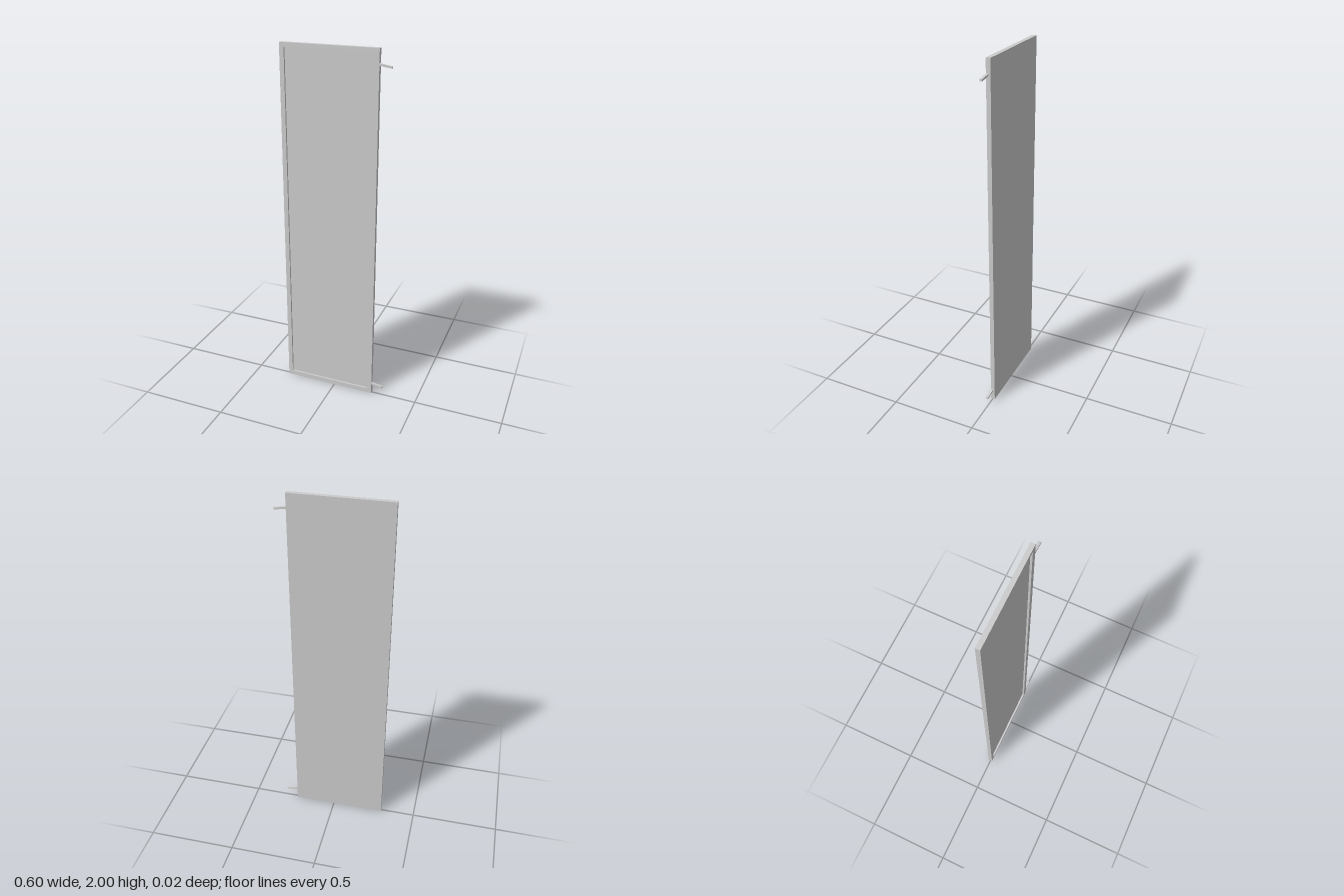
import * as THREE from 'three';

const material = new THREE.MeshStandardMaterial({ color: 0xcccccc, flatShading: true });

// Traces a rectangle into a Shape or Path
function rectangle(path, x0, y0, x1, y1) {
  path.moveTo(x0, y0);
  path.lineTo(x1, y0);
  path.lineTo(x1, y1);
  path.lineTo(x0, y1);
  path.closePath();
  return path;
}

function addMesh(group, name, geometry, x = 0, y = 0, z = 0) {
  const mesh = new THREE.Mesh(geometry, material);
  mesh.name = name;
  mesh.position.set(x, y, z);
  group.add(mesh);
  return mesh;
}

export function createModel() {
  const group = new THREE.Group();
  group.name = 'door';

  const left = -0.3, right = 0.235, top = 2;
  const back = -0.013, recess = 0, front = 0.011;

  // Full-size backing panel, seen inside the recess
  addMesh(group, 'doorPanel', new THREE.BoxGeometry(right - left, top, recess - back),
    (left + right) / 2, top / 2, (back + recess) / 2);

  // Raised border around the recessed front
  const border = rectangle(new THREE.Shape(), left, 0, right, top);
  border.holes.push(rectangle(new THREE.Path(), -0.275, 0.026, 0.207, 1.977));
  addMesh(group, 'frontFrame',
    new THREE.ExtrudeGeometry(border, { depth: front - recess, bevelEnabled: false }), 0, 0, recess);

  // Hinge arms: thin bars sloping down away from the door edge
  const arm = rectangle(new THREE.Shape(), 0, 0, 0.065, 0.01);
  const position = new THREE.ExtrudeGeometry(arm, { depth: 0.014, bevelEnabled: false });
  const p = position.attributes.position;
  for (let i = 0; i < p.count; i++) p.setY(i, p.getY(i) - p.getX(i) * 0.16);
  position.computeVertexNormals();
  for (const [name, y] of [['upperHingeArm', 1.917], ['lowerHingeArm', 0.06]]) {
    addMesh(group, name, position, right, y, -0.003);
  }

  return group;
}
